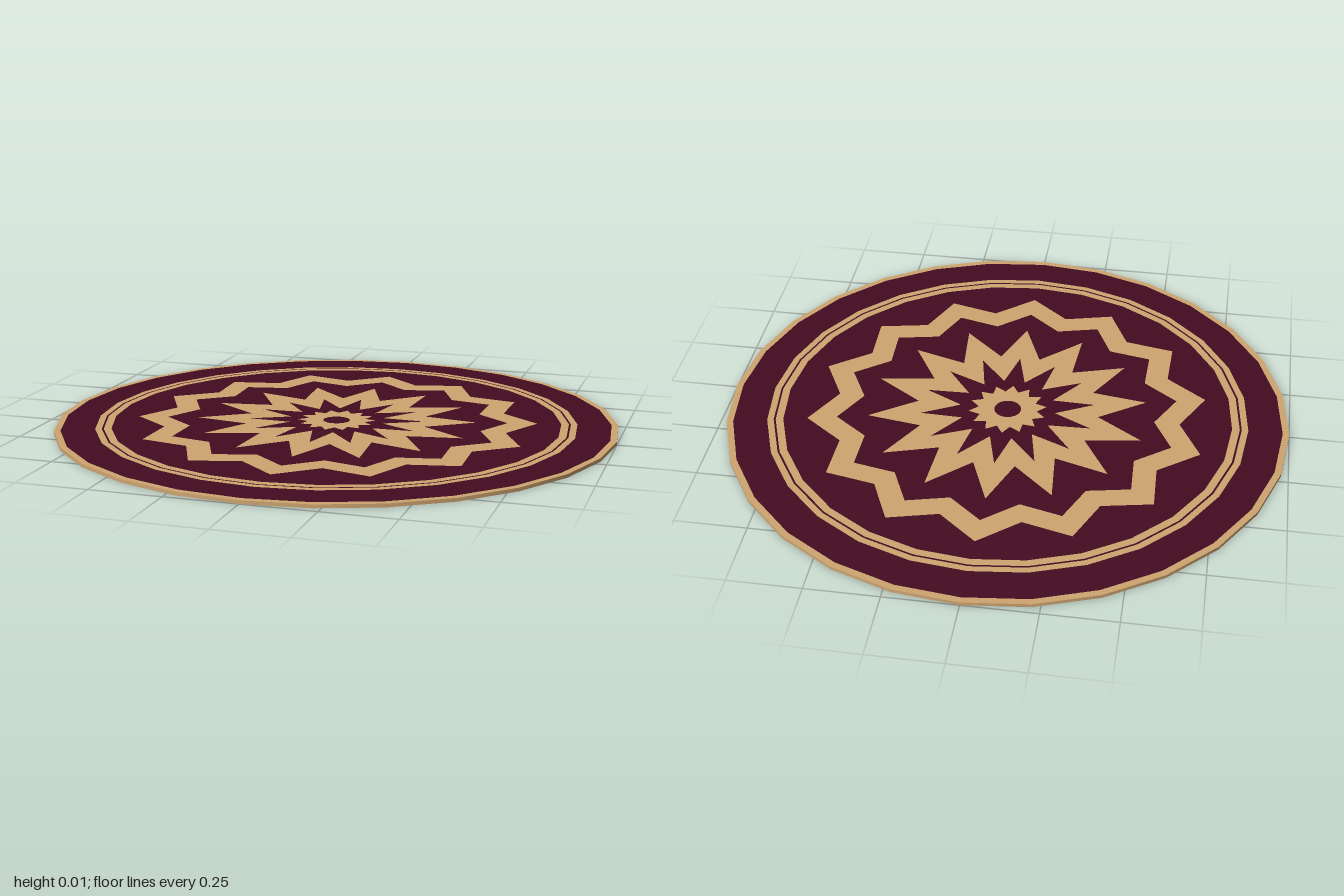
import * as THREE from 'three';

const SIDES = 28; // every outline has 28 corners; stars alternate tip and valley
const THICK = 0.012;

const maroon = new THREE.MeshStandardMaterial({ name: 'maroon', color: 0x430c21 });
const tan = new THREE.MeshStandardMaterial({ name: 'tan', color: 0xcfa571 });

// Outline whose radius alternates between tip and valley (equal for a plain ring)
function outline([tip, valley]) {
  const points = [];
  for (let i = 0; i < SIDES; i++) {
    const a = (i / SIDES) * Math.PI * 2;
    const r = i % 2 ? valley : tip;
    points.push(new THREE.Vector2(Math.sin(a) * r, Math.cos(a) * r));
  }
  return points;
}

export function createModel() {
  const rug = new THREE.Group();
  rug.name = 'roundRug';

  // Bands from the rim inwards: name, outer outline radii, material
  const bands = [
    ['rimBand', [1, 1], tan],
    ['outerField', [0.977, 0.977], maroon],
    ['outerRing', [0.857, 0.857], tan],
    ['ringGap', [0.834, 0.834], maroon],
    ['innerRing', [0.827, 0.827], tan],
    ['middleField', [0.8, 0.8], maroon],
    ['zigzagBand', [0.715, 0.615], tan],
    ['innerField', [0.61, 0.525], maroon],
    ['starburst', [0.5, 0.325], tan],
    ['starField', [0.312, 0.17], maroon],
    ['rosette', [0.14, 0.105], tan],
    ['centre', [0.048, 0.048], maroon],
  ];

  bands.forEach(([name, radii, material], i) => {
    const shape = new THREE.Shape(outline(radii));
    if (i + 1 < bands.length) shape.holes.push(new THREE.Path(outline(bands[i + 1][1])));
    // The pattern runs through the cloth, so it shows on both faces
    for (const side of [1, -1]) {
      const geometry = new THREE.ShapeGeometry(shape);
      geometry.rotateX((-side * Math.PI) / 2);
      const mesh = new THREE.Mesh(geometry, material);
      mesh.name = name + (side > 0 ? 'Top' : 'Underside');
      mesh.position.y = side > 0 ? THICK : 0;
      rug.add(mesh);
    }
  });

  // Thin outer edge
  const edgeGeometry = new THREE.CylinderGeometry(1, 1, THICK, SIDES, 1, true);
  const edge = new THREE.Mesh(edgeGeometry, tan);
  edge.name = 'edge';
  edge.position.y = THICK / 2;
  rug.add(edge);

  return rug;
}
